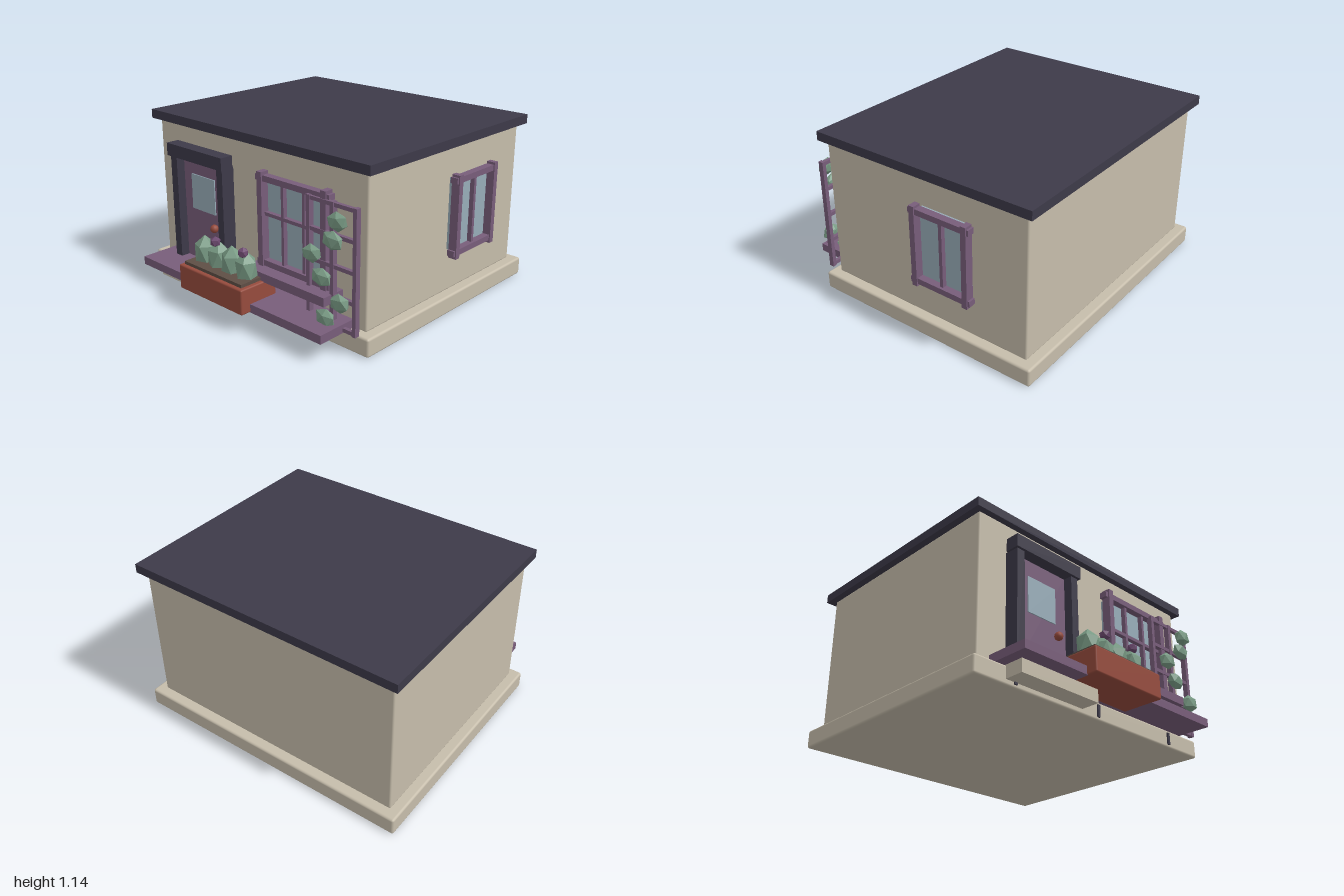
import * as THREE from 'three';
import { RoundedBoxGeometry } from 'three/addons/geometries/RoundedBoxGeometry.js';

const mat = (name, color, flatShading = false) => {
  const m = new THREE.MeshStandardMaterial({ color, flatShading });
  m.name = name;
  return m;
};

export function createModel() {
  const plaster = mat('plaster', 0xc6bdab);
  const slate = mat('slate', 0x3d3a49);
  const plum = mat('plum', 0x785d7a);
  const glass = mat('glass', 0x98adb9);
  const clay = mat('clay', 0x964b3d);
  const soil = mat('soil', 0x5e4e45);
  const leaf = mat('leaf', 0x7a9c86, true);
  const petal = mat('petal', 0x6d4a70, true);

  const house = new THREE.Group();
  house.name = 'cottage';
  const group = (name) => {
    const g = new THREE.Group();
    g.name = name;
    house.add(g);
    return g;
  };

  // Box given by its min and max on each axis, with optional rounded edges
  const box = (parent, name, material, x0, x1, y0, y1, z0, z1, round = 0) => {
    const size = [x1 - x0, y1 - y0, z1 - z0];
    const geo = round ? new RoundedBoxGeometry(...size, 2, round) : new THREE.BoxGeometry(...size);
    const m = new THREE.Mesh(geo, material);
    m.name = name;
    m.position.set((x0 + x1) / 2, (y0 + y1) / 2, (z0 + z1) / 2);
    parent.add(m);
    return m;
  };

  // Faceted blob with one vertex pointing up
  const blobGeo = new THREE.IcosahedronGeometry(1, 0);
  blobGeo.rotateZ(-Math.atan(2 / (1 + Math.sqrt(5))));
  const blob = (parent, name, material, pos, scale, turn = 0, tilt = 0) => {
    const m = new THREE.Mesh(blobGeo.clone().rotateY(turn), material);
    m.name = name;
    m.position.set(...pos);
    m.scale.set(...scale);
    m.rotation.z = tilt;
    parent.add(m);
  };

  // Shell: plinth, walls, roof
  box(house, 'plinth', plaster, -1, 0.975, 0, 0.12, -0.965, 0.675, 0.015);
  box(house, 'walls', plaster, -0.935, 0.91, 0.12, 1.085, -0.9, 0.615, 0.012);
  box(house, 'roof', slate, -0.98, 0.953, 1.08, 1.14, -0.947, 0.655);
  for (const x of [-0.7, -0.015, 0.67]) {
    box(house, 'plinthJoint', slate, x - 0.01, x + 0.01, 0.02, 0.1, 0.67, 0.685);
  }

  // Porch and step
  box(house, 'porchDeck', plum, -0.84, 0.813, 0.12, 0.175, 0.615, 0.895);
  box(house, 'step', plaster, -0.77, -0.155, 0.035, 0.12, 0.66, 0.8);

  // Door
  const door = group('door');
  box(door, 'doorPanel', plum, -0.66, -0.26, 0.17, 0.885, 0.61, 0.65);
  box(door, 'doorPane', glass, -0.58, -0.35, 0.53, 0.77, 0.648, 0.657);
  box(door, 'doorPostRight', slate, -0.72, -0.66, 0.17, 0.885, 0.61, 0.71);
  box(door, 'doorPostLeft', slate, -0.26, -0.205, 0.17, 0.885, 0.61, 0.71);
  box(door, 'doorLintel', slate, -0.735, -0.19, 0.88, 0.965, 0.635, 0.727);
  const knob = new THREE.Mesh(new THREE.SphereGeometry(0.028, 12, 8), clay);
  knob.name = 'doorKnob';
  knob.position.set(-0.345, 0.445, 0.675);
  door.add(knob);

  // Front window
  const front = group('frontWindow');
  box(front, 'windowGlass', glass, 0.13, 0.65, 0.36, 0.89, 0.61, 0.65);
  for (const x of [0.108, 0.633]) box(front, 'windowPost', plum, x, x + 0.04, 0.32, 0.943, 0.645, 0.705);
  for (const y of [0.34, 0.885]) box(front, 'windowRail', plum, 0.087, 0.69, y, y + 0.038, 0.645, 0.695);
  for (const x of [0.3, 0.475]) box(front, 'windowMullion', plum, x - 0.01, x + 0.01, 0.36, 0.89, 0.645, 0.68);
  box(front, 'windowCrossbar', plum, 0.13, 0.65, 0.665, 0.687, 0.645, 0.68);
  box(front, 'windowSill', plum, 0.05, 0.73, 0.28, 0.337, 0.61, 0.78);

  // Window on the left wall
  const side = group('sideWindow');
  box(side, 'windowGlass', glass, 0.9, 0.945, 0.41, 0.88, -0.515, -0.15);
  for (const z of [-0.162, -0.542]) box(side, 'windowPost', plum, 0.943, 1, 0.37, 0.913, z, z + 0.038);
  for (const y of [0.387, 0.86]) box(side, 'windowRail', plum, 0.943, 0.993, y, y + 0.038, -0.555, -0.11);
  box(side, 'windowMullion', plum, 0.943, 0.975, 0.42, 0.865, -0.345, -0.322);

  // Trellis with climbing leaves
  const trellis = group('trellis');
  for (const x of [0.543, 0.728, 0.9]) box(trellis, 'trellisPost', plum, x - 0.013, x + 0.013, 0.125, 0.9, 0.68, 0.715);
  for (const y of [0.14, 0.325, 0.512, 0.7, 0.884]) box(trellis, 'trellisRail', plum, 0.53, 0.913, y - 0.012, y + 0.012, 0.685, 0.71);
  const leaves = [[0.81, 0.815], [0.775, 0.695], [0.615, 0.575], [0.69, 0.45], [0.83, 0.33], [0.72, 0.205]];
  leaves.forEach(([x, y], i) => blob(trellis, 'climbingLeaf', leaf, [x, y, 0.758], [0.075, 0.06, 0.038], i * 0.7, i % 2 ? -0.15 : 0.15));

  // Planter: clay trough, soil, shrubs and blossoms
  const planter = group('planter');
  box(planter, 'trough', clay, -0.355, 0.233, 0.12, 0.285, 0.68, 0.965, 0.01);
  box(planter, 'soilBed', soil, -0.328, 0.205, 0.26, 0.306, 0.708, 0.938);
  [-0.258, -0.129, 0, 0.129].forEach((x, i) => {
    blob(planter, 'shrub', leaf, [x, 0.355, 0.825], [0.078, 0.115, 0.075], i * 0.5);
    if (i % 2) blob(planter, 'blossom', petal, [x, 0.465, 0.847], [0.036, 0.036, 0.036], i);
  });

  return house;
}
